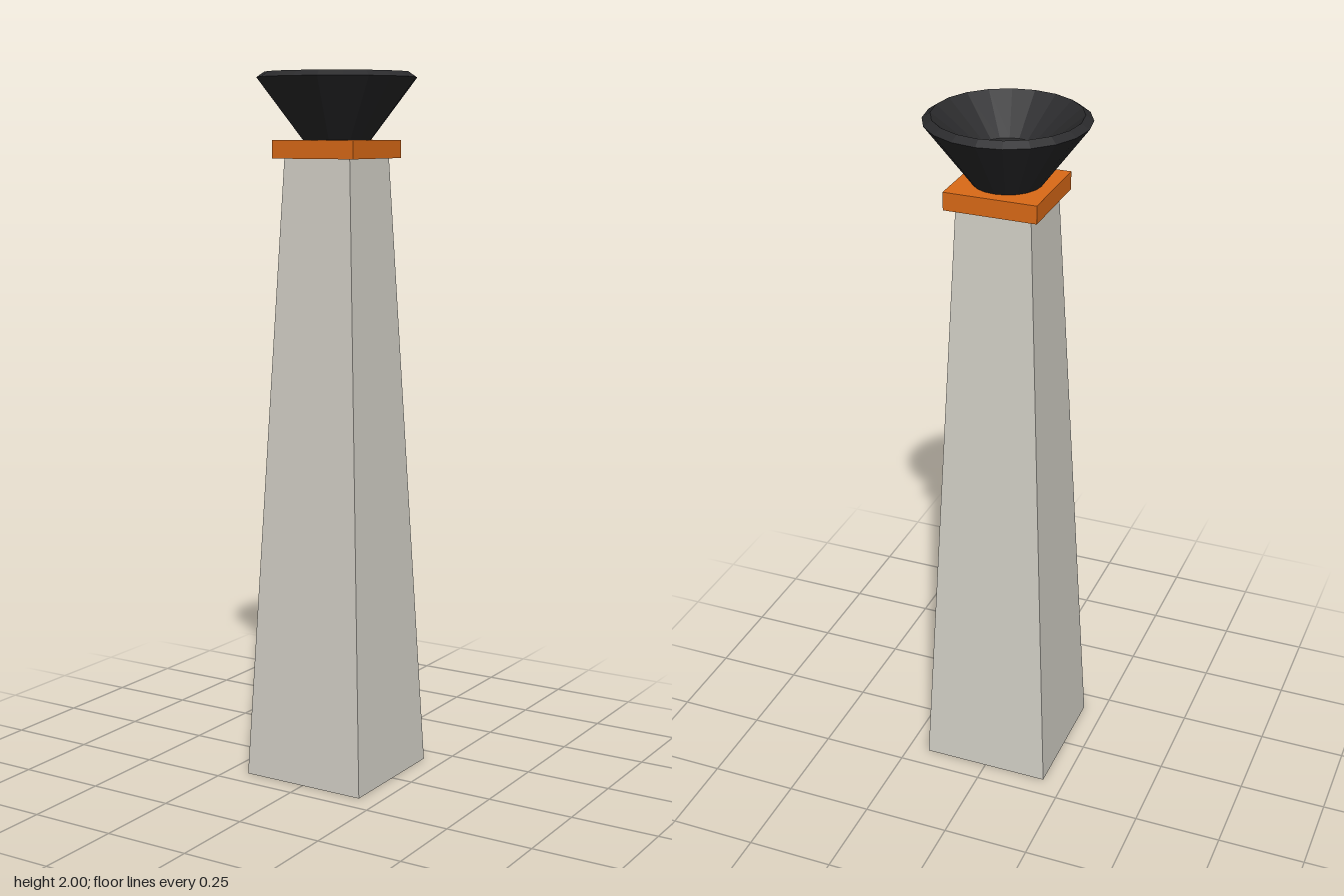
import * as THREE from 'three';

const material = (color, side = THREE.FrontSide) =>
  new THREE.MeshStandardMaterial({ color, side, flatShading: true });

function addPart(group, name, geometry, mat) {
  const mesh = new THREE.Mesh(geometry, mat);
  mesh.name = name;
  group.add(mesh);
  return mesh;
}

export function createModel() {
  const group = new THREE.Group();
  group.name = 'firePillar';

  // Tapered square column, hollow and open underneath
  const columnHeight = 1.77;
  const column = new THREE.CylinderGeometry(
    0.105 * Math.SQRT2, 0.1875 * Math.SQRT2, columnHeight, 4, 1, true);
  column.rotateY(Math.PI / 4);
  column.translate(0, columnHeight / 2, 0);
  addPart(group, 'column', column, material(0xd3d0c7, THREE.DoubleSide));

  // Square collar plate on top of the column
  const collar = new THREE.BoxGeometry(0.26, 0.05, 0.26);
  collar.translate(0, 1.79, 0);
  addPart(group, 'collar', collar, material(0xdb6a17));

  // Flared bowl: outer wall, bevelled rim, inner wall and flat floor
  const profile = [
    [0, 1.812], [0.092, 1.812], [0.222, 1.985], [0.2, 2], [0.082, 1.905], [0, 1.905],
  ].map(([r, y]) => new THREE.Vector2(r, y));
  addPart(group, 'bowl', new THREE.LatheGeometry(profile, 20), material(0x2b2b2d));

  return group;
}
